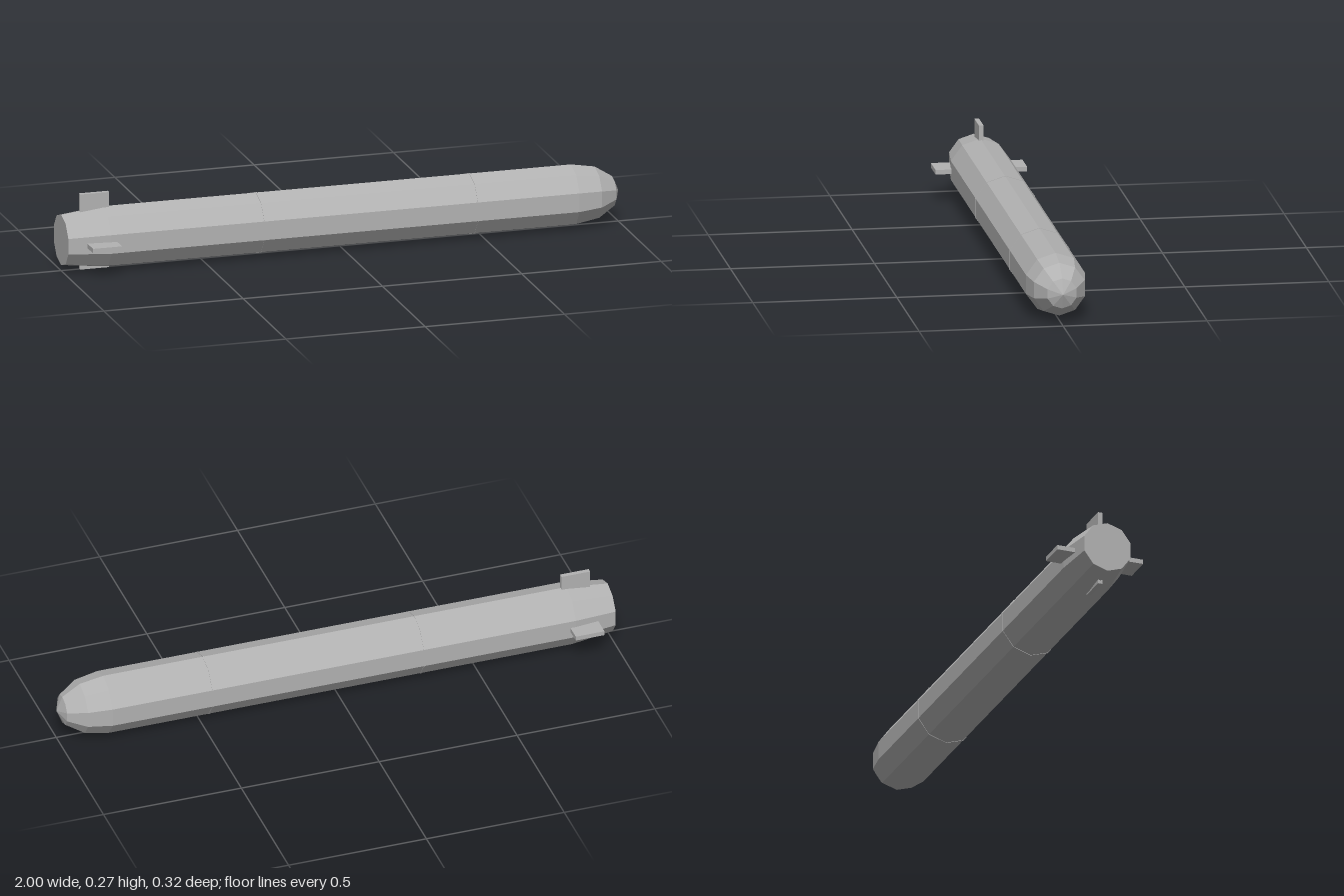
import * as THREE from 'three';

const AXIS_Y = 0.11;

export function createModel() {
  const group = new THREE.Group();
  const grey = new THREE.MeshStandardMaterial({ color: 0xb2b2b2, flatShading: true });
  grey.name = 'hull grey';

  const add = (name, geometry, x, y, z) => {
    const mesh = new THREE.Mesh(geometry, grey);
    mesh.name = name;
    mesh.position.set(x, y, z);
    group.add(mesh);
  };

  // Ten-sided turned shape along x, with a corner at top and bottom; points are [x, radius]
  const turned = (points) => new THREE.LatheGeometry(
    points.map(([x, r]) => new THREE.Vector2(r, x)), 10, Math.PI / 2
  ).rotateZ(-Math.PI / 2);

  // Hull: flat tail, slight taper, long tube and faceted nose
  add('hull', turned([
    [-1, 0], [-1, 0.09], [-0.85, 0.108], [0.83, 0.108],
    [0.915, 0.093], [0.978, 0.053], [1, 0],
  ]), 0, AXIS_Y, 0);

  // Thin joint bands, barely proud of the hull
  for (const x of [-0.3, 0.467]) {
    add('jointBand', turned([
      [-0.002, 0.107], [-0.002, 0.1095], [0.002, 0.1095], [0.002, 0.107],
    ]), x, AXIS_Y, 0);
  }

  // Tail fins
  add('topFin', new THREE.BoxGeometry(0.104, 0.09, 0.016), -0.882, 0.224, 0);
  add('bottomFin', new THREE.BoxGeometry(0.104, 0.05, 0.016), -0.882, 0.025, 0);
  for (const side of [-1, 1]) {
    add(side > 0 ? 'frontFin' : 'backFin',
      new THREE.BoxGeometry(0.104, 0.016, 0.08), -0.882, AXIS_Y, side * 0.119);
  }
  return group;
}
